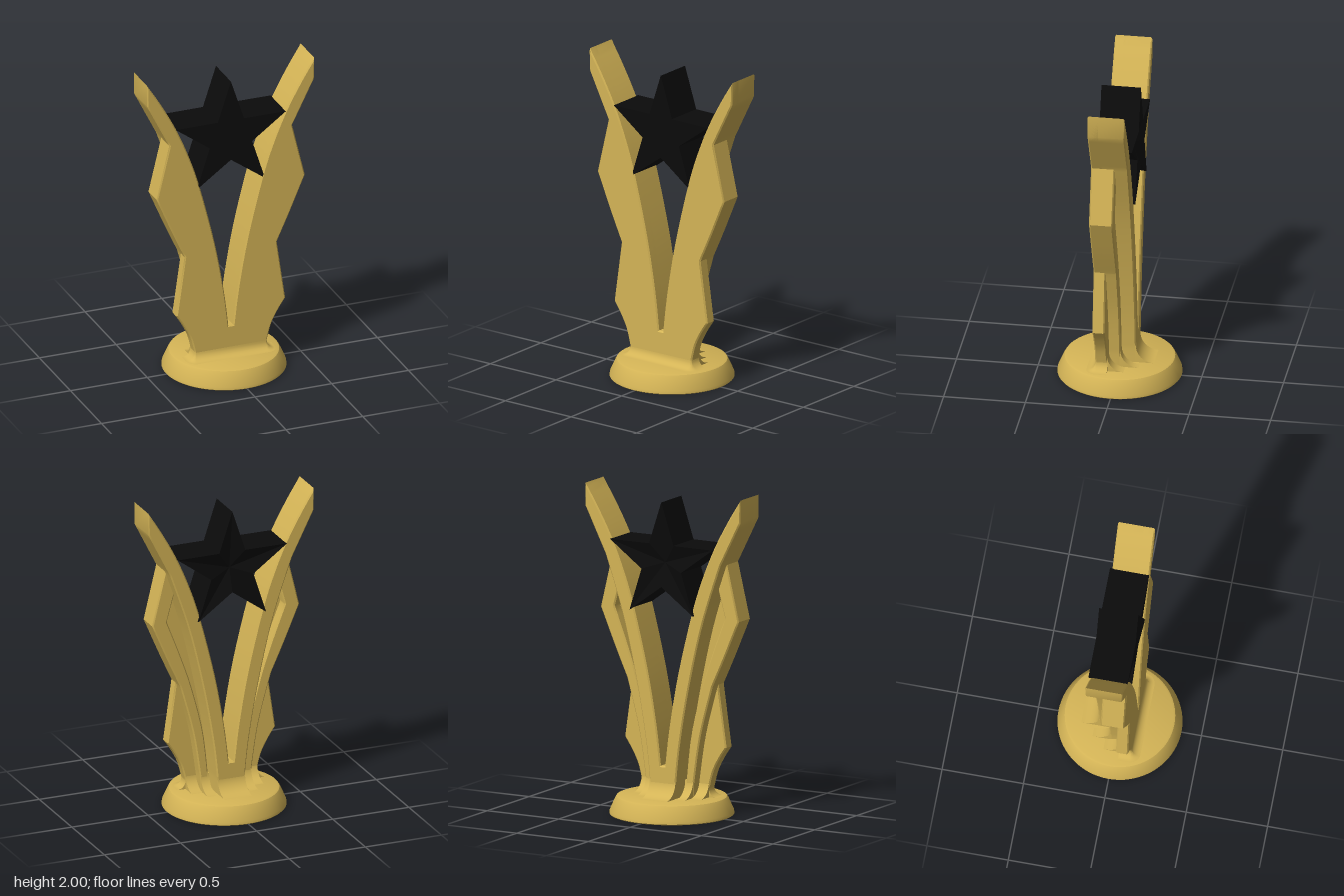
import * as THREE from 'three';
import { toCreasedNormals } from 'three/addons/utils/BufferGeometryUtils.js';

const gold = new THREE.MeshStandardMaterial({ color: 0xd4b456 });
const black = new THREE.MeshStandardMaterial({ color: 0x0b0b0b });
const FLOOR = 0.115; // top of the round base

// Smooth run of points through a few controls
const curve = (pts, n = 14) =>
  new THREE.SplineCurve(pts.map(p => new THREE.Vector2(...p))).getPoints(n).map(p => [p.x, p.y]);
const flip = pts => pts.map(([x, y]) => [-x, y]).reverse();

// Bevelled slab between two depths
function slab(pts, zBack, zFront) {
  const b = 0.008;
  const shape = new THREE.Shape(pts.map(p => new THREE.Vector2(...p)));
  const geo = new THREE.ExtrudeGeometry(shape, {
    depth: zFront - zBack - 2 * b, bevelEnabled: true, bevelSize: b,
    bevelThickness: b, bevelOffset: -b, bevelSegments: 1,
  });
  geo.translate(0, 0, zBack + b);
  return toCreasedNormals(geo, 0.5);
}

// Concave sweep that runs from a back face down onto the base
function backFillet(z, r, x0, x1) {
  const u = -z, pts = [new THREE.Vector2(u - 0.02, FLOOR - 0.01), new THREE.Vector2(u + r, FLOOR - 0.01)];
  for (let i = 0; i <= 10; i++) {
    const a = Math.PI * (1.5 - 0.05 * i);
    pts.push(new THREE.Vector2(u + r + r * Math.cos(a), FLOOR + r + r * Math.sin(a)));
  }
  pts.push(new THREE.Vector2(u - 0.02, FLOOR + r));
  const geo = new THREE.ExtrudeGeometry(new THREE.Shape(pts), { depth: x1 - x0, bevelEnabled: false });
  geo.rotateY(Math.PI / 2).translate(x0, 0, 0);
  return toCreasedNormals(geo, 0.5);
}

// Flared foot around the front and sides, lofted from rounded rings
function flaredFoot() {
  const r = 0.055, rows = 8, pos = [], idx = [];
  let n = 0;
  for (let k = 0; k <= rows; k++) {
    const a = (k / rows) * Math.PI / 2;
    const o = r * (1 - Math.sin(a)), y = FLOOR + r * (1 - Math.cos(a));
    const ring = [[0.235 + o, 0.04]];
    for (let i = 0; i <= 12; i++) {
      const t = (i / 12) * Math.PI, side = i <= 6 ? 1 : -1;
      ring.push([side * 0.225 + (0.01 + o) * Math.cos(t), 0.105 + (0.01 + o) * Math.sin(t)]);
    }
    ring.push([-0.235 - o, 0.04]);
    n = ring.length;
    ring.forEach(([x, z]) => pos.push(x, y, z));
  }
  for (let k = 0; k < rows; k++) {
    for (let i = 0; i < n; i++) {
      const a = k * n + i, b = k * n + (i + 1) % n;
      idx.push(a, a + n, b, b, a + n, b + n);
    }
  }
  const geo = new THREE.BufferGeometry();
  geo.setAttribute('position', new THREE.Float32BufferAttribute(pos, 3));
  geo.setIndex(idx);
  return toCreasedNormals(geo, 0.6);
}

// Five-pointed prism with a flat front and a faceted, hollowed back
function starGeometry() {
  const cy = 1.56, zf = 0.113, zb = -0.128, pos = [], pt = [];
  for (let i = 0; i < 10; i++) {
    const r = i % 2 ? 0.145 : 0.377, a = Math.PI / 2 + i * Math.PI / 5;
    pt.push([r * Math.cos(a), cy + r * Math.sin(a)]);
  }
  pt.forEach((p, i) => {
    const q = pt[(i + 1) % 10];
    pos.push(0, cy, zf, ...p, zf, ...q, zf);
    pos.push(...p, zf, ...p, zb, ...q, zf, ...q, zf, ...p, zb, ...q, zb);
    pos.push(0, cy, zb + 0.05, ...q, zb, ...p, zb);
  });
  const geo = new THREE.BufferGeometry();
  geo.setAttribute('position', new THREE.Float32BufferAttribute(pos, 3));
  geo.computeVertexNormals();
  return geo;
}

export function createModel() {
  const group = new THREE.Group();
  const add = (name, geo, mat = gold) => {
    const mesh = new THREE.Mesh(geo, mat);
    mesh.name = name;
    group.add(mesh);
  };

  // Round base with sloping rim
  const profile = [[0, 0], [0.373, 0], [0.378, 0.005], [0.376, 0.022], [0.342, 0.098],
    [0.334, 0.11], [0.322, FLOOR], [0, FLOOR]].map(p => new THREE.Vector2(...p));
  add('base', toCreasedNormals(new THREE.LatheGeometry(profile, 72), 0.5));

  // Shared edges of the right half
  const inner = curve([[0.543, 2], [0.455, 1.86], [0.357, 1.68], [0.27, 1.475], [0.2, 1.26],
    [0.105, 0.88], [0.045, 0.55], [0.015, 0.31]], 28);
  const tip = [...curve([[0.4, 1.575], [0.463, 1.7], [0.543, 1.86]], 6), ...inner];
  const featherEdge = curve([[0.3, 0.815], [0.38, 0.99], [0.483, 1.23]], 8);

  // Front plate carrying the whole outline
  const plate = [[0.235, 0.105],
    ...curve([[0.235, 0.17], [0.262, 0.27], [0.305, 0.355], [0.355, 0.43]]),
    ...featherEdge, ...tip];
  add('frontPlate', slab([...plate, ...flip(plate)], 0.04, 0.115));

  // Tall pair of blades, full depth
  const blade = [[0.09, 0.105],
    ...curve([[0.09, 0.2], [0.118, 0.45], [0.18, 0.8], [0.275, 1.2], [0.395, 1.56]], 18), ...tip];
  add('tallBlades', slab([...blade, ...flip(blade)], -0.113, 0.112));

  // Middle feathers, separated from the blades by a groove
  const feather = [[0.165, 0.105], ...curve([[0.168, 0.2], [0.215, 0.5], [0.298, 0.81]], 10),
    ...featherEdge, [0.4, 1.575], [0.33, 1.575], [0.33, 1.45], [0.385, 1.25],
    ...curve([[0.385, 1.24], [0.3, 1.02], [0.225, 0.8], [0.15, 0.5], [0.115, 0.2]]), [0.11, 0.105]];
  add('leftFeather', slab(feather, -0.03, 0.111));
  add('rightFeather', slab(flip(feather), -0.03, 0.111));

  // Sweeps down to the base
  add('flaredFoot', flaredFoot());
  add('bladeFoot', backFillet(-0.111, 0.11, -0.09, 0.09));
  add('leftFeatherFoot', backFillet(-0.028, 0.11, 0.11, 0.165));
  add('rightFeatherFoot', backFillet(-0.028, 0.11, -0.165, -0.11));
  add('plateFoot', backFillet(0.042, 0.1, -0.235, 0.235));

  add('star', starGeometry(), black);
  return group;
}
